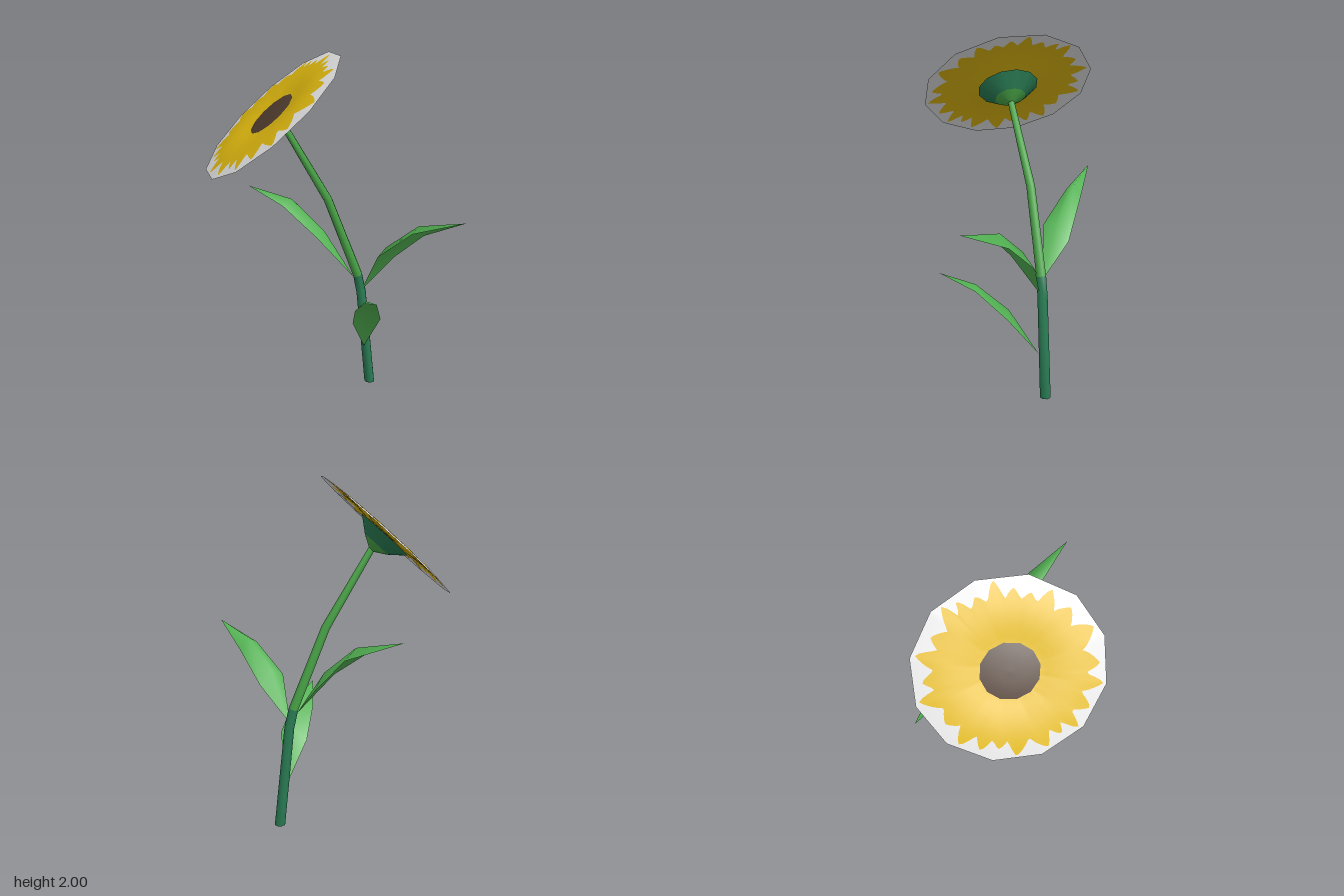
import * as THREE from 'three';

const mat = (name, color, side = THREE.FrontSide) => {
  const m = new THREE.MeshStandardMaterial({ color, side });
  m.name = name;
  return m;
};

const part = (name, geometry, material) => {
  const m = new THREE.Mesh(geometry, material);
  m.name = name;
  return m;
};

function indexed(points, index) {
  const g = new THREE.BufferGeometry();
  g.setAttribute('position', new THREE.Float32BufferAttribute(points.flat(), 3));
  g.setIndex(index);
  g.computeVertexNormals();
  return g;
}

// Tapered stem: rings across a path of [x, y, z, radius], two colours split at one ring
function stemGeometry(path, split) {
  const sides = 7, points = [], index = [];
  const at = i => new THREE.Vector3(...path[Math.min(Math.max(i, 0), path.length - 1)].slice(0, 3));
  for (let s = 1; s < sides - 1; s++) index.push(0, s + 1, s);
  path.forEach((p, i) => {
    const t = at(i + 1).sub(at(i - 1)).normalize();
    const u = new THREE.Vector3().crossVectors(t, new THREE.Vector3(0, 0, 1)).normalize();
    const v = new THREE.Vector3().crossVectors(t, u);
    if (i === 0) { u.set(1, 0, 0); v.set(0, 0, -1); }
    for (let s = 0; s < sides; s++) {
      const a = s / sides * Math.PI * 2;
      points.push(at(i).addScaledVector(u, Math.cos(a) * p[3]).addScaledVector(v, Math.sin(a) * p[3]).toArray());
      if (i) {
        const q = i * sides + s, r = i * sides + (s + 1) % sides;
        index.push(q - sides, r - sides, q, r - sides, r, q);
      }
    }
  });
  const g = indexed(points, index);
  const lower = (sides - 2) * 3 + split * sides * 6;
  g.addGroup(0, lower, 0);
  g.addGroup(lower, index.length - lower, 1);
  return g;
}

// Leaf blade from base, two left/right pairs and tip, arched along a raised midrib
function leafGeometry([base, l1, r1, l2, r2, tip], lift) {
  const rib = (l, r, h) => [(l[0] + r[0]) / 2, (l[1] + r[1]) / 2 + h, (l[2] + r[2]) / 2];
  const points = [base, l1, rib(l1, r1, lift), r1, l2, rib(l2, r2, lift * .85), r2, tip];
  return indexed(points, [
    0, 2, 1, 0, 3, 2,
    1, 2, 4, 2, 5, 4, 2, 3, 5, 3, 6, 5,
    4, 5, 7, 5, 6, 7,
  ]);
}

// Petal tips as [degrees, radius]
const tips = [
  [2, .47], [14, .425], [26, .41], [38, .455], [55, .43], [74, .46], [99, .445], [112, .475], [130, .455],
  [145, .475], [155, .437], [167, .464], [188, .466], [200, .42], [212, .447], [226, .463], [243, .415],
  [265, .469], [277, .43], [295, .47], [309, .425], [329, .473], [337, .447], [349, .42],
];
const valley = .365, rimPhase = -7.5, rimRadius = .489;

// Radius of the twelve-sided rim at an angle
function rimAt(deg) {
  const d = (((deg - rimPhase) % 30) + 30) % 30 - 15;
  return rimRadius * Math.cos(Math.PI / 12) / Math.cos(d * Math.PI / 180);
}

// Radius of the petal outline at an angle
function petalAt(deg) {
  for (let i = 0; i < tips.length; i++) {
    const [a, ra] = tips[i];
    let [b, rb] = tips[(i + 1) % tips.length];
    if (b < a) b += 360;
    const d = deg < a ? deg + 360 : deg;
    if (d < a || d > b) continue;
    const t = (d - a) / (b - a), r = t < .5 ? ra : rb;
    const k = Math.abs(t - .5) * 2;
    return Math.min(valley + (r - valley) * Math.pow(k, .85), rimAt(deg) - .004);
  }
  return valley;
}

// Gentle swell of the petals by share of the rim radius
const swell = k => (k < .3 ? 0 : .016 * Math.sin(Math.PI * (k - .3) / .7));

// Polar sheet between two outlines
function sheetGeometry(inner, outer, rings) {
  const n = 180, points = [], index = [];
  for (let j = 0; j <= rings; j++) {
    for (let i = 0; i < n; i++) {
      const deg = i * 360 / n + .5, a = deg * Math.PI / 180;
      const r = THREE.MathUtils.lerp(inner(deg), outer(deg), j / rings);
      points.push([r * Math.cos(a), swell(r / rimAt(deg)), r * Math.sin(a)]);
      if (j) {
        const q = j * n + i, s = j * n + (i + 1) % n;
        index.push(q - n, s - n, q, s - n, s, q);
      }
    }
  }
  return indexed(points, index);
}

const lathe = (profile, sides) => new THREE.LatheGeometry(profile.map(p => new THREE.Vector2(...p)), sides);

export function createModel() {
  const yellow = mat('petal yellow', 0xdcb60f, THREE.DoubleSide);
  const white = mat('rim white', 0xe0e0e0, THREE.DoubleSide);
  const brown = mat('seed brown', 0x503c2e, THREE.DoubleSide);
  const teal = mat('dark green', 0x2a7d55);
  const green = mat('stem green', 0x4aa648);
  const leafGreen = mat('leaf green', 0x52b152, THREE.DoubleSide);
  const model = new THREE.Group();
  model.name = 'flower';

  // Stem in two colours
  model.add(part('stem', stemGeometry([
    [.352, 0, -.02, .031], [.29, .59, -.026, .029], [.266, .7, -.028, .028],
    [.08, 1.17, -.045, .025], [-.19, 1.615, -.038, .019],
  ], 2), [teal, green]));

  // Leaves
  const leaves = {
    lowerLeaf: [.045, [.3, .25, 0], [.165, .46, .12], [.31, .49, .19], [.095, .61, .295], [.207, .645, .338], [.055, .727, .497]],
    leftLeaf: [.06, [.283, .61, -.01], [.295, .86, .166], [.44, .82, .09], [.425, 1.025, .33], [.53, .99, .275], [.617, 1.125, .565]],
    backLeaf: [.06, [.25, .68, -.05], [.05, .92, -.135], [.184, .85, -.235], [-.085, 1.08, -.35], [.045, 1.05, -.375], [-.225, 1.175, -.568]],
  };
  for (const [name, [lift, ...points]] of Object.entries(leaves)) {
    model.add(part(name, leafGeometry(points, lift), leafGreen));
  }

  // Tilted flower head, its local y facing outward
  const head = new THREE.Group();
  head.name = 'flowerHead';
  const n = new THREE.Vector3(-.666, .742, -.078).normalize();
  const b = new THREE.Vector3(0, 0, 1).addScaledVector(n, -n.z).normalize();
  const a = new THREE.Vector3().crossVectors(n, b);
  head.quaternion.setFromRotationMatrix(new THREE.Matrix4().makeBasis(a, n, b));
  head.position.set(-.256, 1.68, -.049);
  head.add(part('petals', sheetGeometry(() => .1, petalAt, 8), yellow));
  head.add(part('petalRim', sheetGeometry(petalAt, rimAt, 3), white));
  head.add(part('seedCentre', lathe([[.152, .002], [.11, .007], [.06, .01], [0, .011]], 12), brown));
  // Calyx behind the petals
  head.add(part('calyxCup', lathe([[.088, -.073], [.175, -.004]], 12), teal));
  head.add(part('calyxBase', lathe([[0, -.114], [.02, -.112], [.088, -.073]], 12), green));
  model.add(head);
  return model;
}
